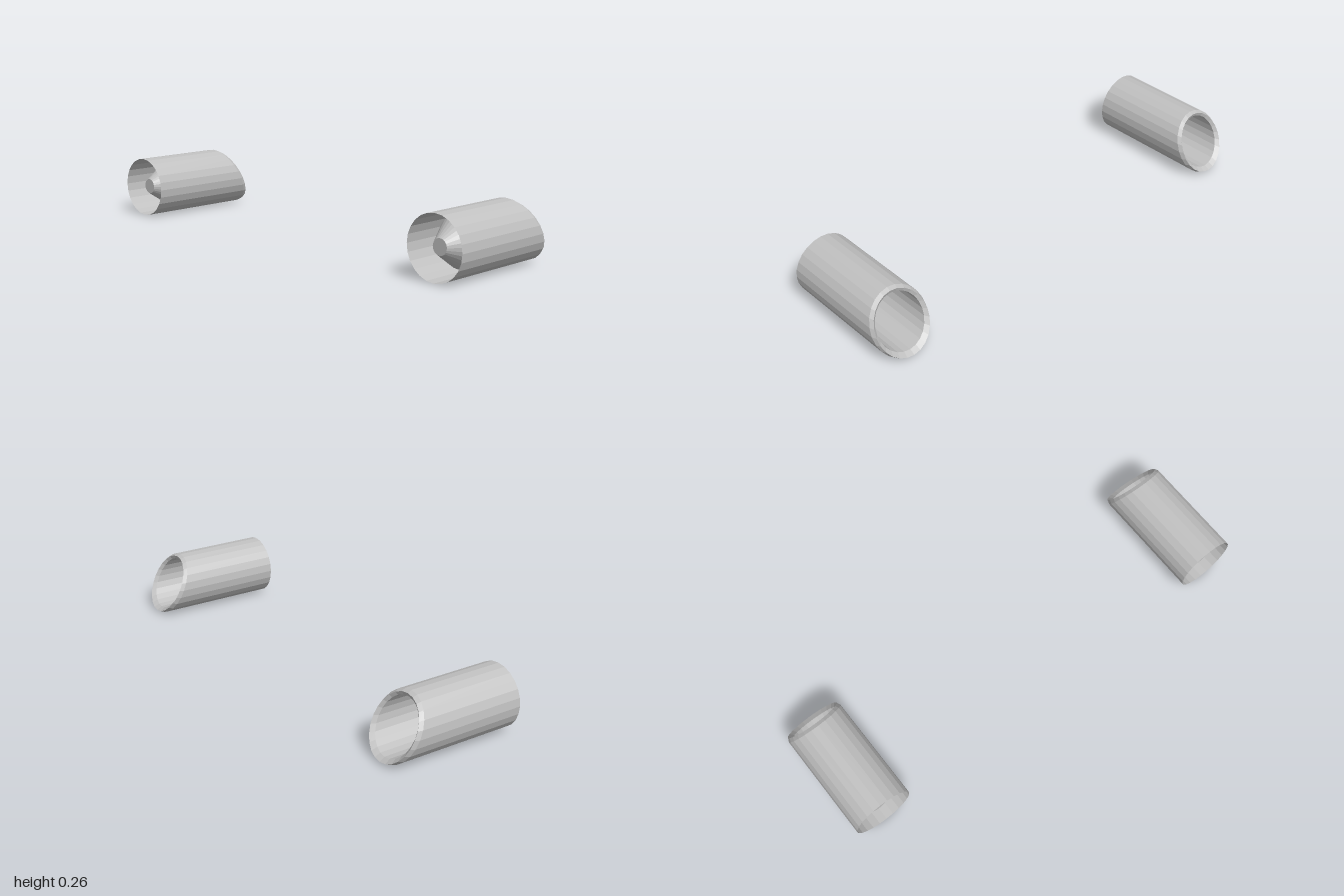
import * as THREE from 'three';
import { mergeVertices } from 'three/addons/utils/BufferGeometryUtils.js';

const SIDES = 24;
const RADIUS = 0.13;

// Skin between successive rings [radius, z at centre, slant of z with height]
function skin(rings) {
  const at = ([r, z, slant], j) => {
    const a = (j / SIDES) * Math.PI * 2;
    const y = r * Math.sin(a);
    return [r * Math.cos(a), y, z + slant * y];
  };
  const pos = [];
  for (let i = 0; i < rings.length - 1; i++) {
    for (let j = 0; j < SIDES; j++) {
      const a = at(rings[i], j), b = at(rings[i + 1], j);
      const c = at(rings[i + 1], j + 1), d = at(rings[i], j + 1);
      pos.push(...a, ...b, ...c, ...a, ...c, ...d);
    }
  }
  const g = mergeVertices(new THREE.BufferGeometry()
    .setAttribute('position', new THREE.Float32BufferAttribute(pos, 3))).toNonIndexed();
  g.computeVertexNormals();
  return g;
}

export function createModel() {
  const model = new THREE.Group();
  model.name = 'exhaustTips';
  const steel = new THREE.MeshStandardMaterial({
    color: 0xc0c0c0, side: THREE.DoubleSide, flatShading: true,
  });
  steel.name = 'steel';

  // Rings shared between neighbouring parts
  const front = [RADIUS, 0.277, 0];
  const rimOuter = [RADIUS, -0.199, 0.454];
  const rimEdge = [0.122, -0.217, 0.49];
  const rimInner = [0.108, -0.203, 0.47];
  const coneBase = [0.105, 0.13, 0];
  const coneTip = [0.033, 0.245, 0];

  const parts = {
    outerTube: skin([front, rimOuter]),
    slantedRim: skin([rimOuter, rimEdge, rimInner]),
    innerTube: skin([rimInner, coneBase]),
    innerCone: skin([coneBase, coneTip]),
    coneCap: new THREE.CircleGeometry(coneTip[0], SIDES).translate(0, 0, coneTip[1]),
  };

  // One tip on each side
  for (const [name, side] of [['leftTip', 1], ['rightTip', -1]]) {
    const tip = new THREE.Group();
    tip.name = name;
    for (const [part, geometry] of Object.entries(parts)) {
      const mesh = new THREE.Mesh(geometry, steel);
      mesh.name = part;
      tip.add(mesh);
    }
    tip.position.set(side * (1 - RADIUS), RADIUS, 0);
    model.add(tip);
  }
  return model;
}
